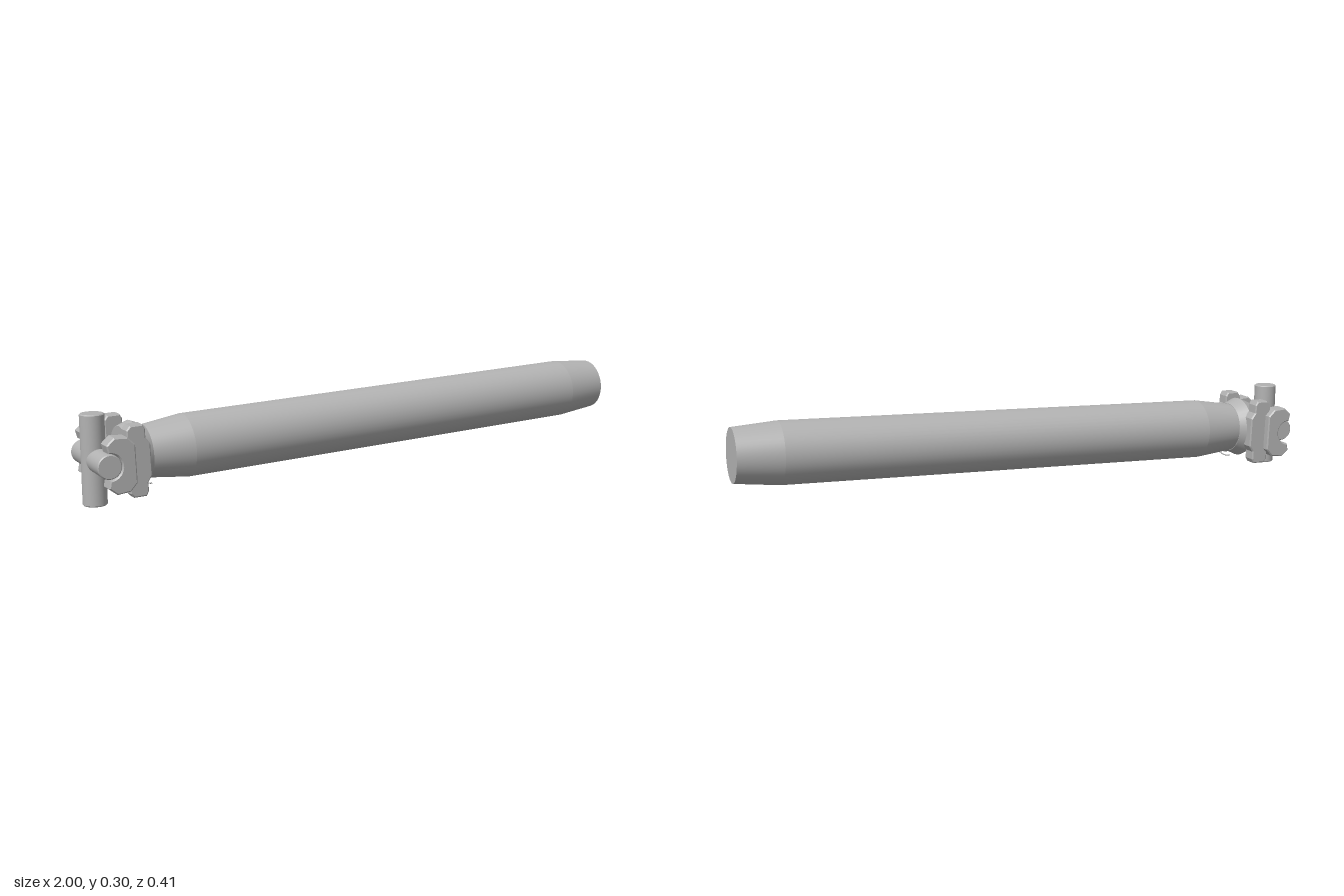
import * as THREE from 'three';

export function createModel() {
  const model = new THREE.Group();
  model.name = 'driveShaft';
  const steel = new THREE.MeshStandardMaterial({ color: 0xb2b2b2 });
  steel.name = 'steel';

  const add = (parent, name, geometry) => {
    const mesh = new THREE.Mesh(geometry, steel);
    mesh.name = name;
    parent.add(mesh);
    return mesh;
  };

  // Everything on the shaft runs along local +x, starting at the joint centre
  const shaft = new THREE.Group();
  shaft.name = 'shaft';
  shaft.position.set(-0.957, 0.14, 0.053);
  shaft.rotation.set(0, 0.0853, 0.0348);
  model.add(shaft);

  // Round section from a to b along the shaft
  const section = (name, a, b, ra, rb, open = false, sides = 48) => {
    const g = new THREE.CylinderGeometry(rb, ra, b - a, sides, 1, open);
    g.rotateZ(-Math.PI / 2);
    g.translate((a + b) / 2, 0, 0);
    return add(shaft, name, g);
  };
  section('neck', 0.155, 0.3, 0.083, 0.102, true);
  section('tube', 0.3, 1.81, 0.102, 0.102, true);
  section('nose', 1.81, 1.957, 0.102, 0.088);

  // Yoke base: a stepped collar behind the neck
  section('yokeCollar', 0.125, 0.165, 0.104, 0.086, false, 32);
  section('yokeBase', 0.088, 0.125, 0.09, 0.104, false, 32);

  // Side plates of the yoke, extruded across z with a small bevel
  const plate = (shape, z0, z1) => {
    const bevel = 0.004;
    const g = new THREE.ExtrudeGeometry(shape, {
      depth: z1 - z0 - 2 * bevel, bevelEnabled: true, bevelSize: bevel,
      bevelThickness: bevel, bevelOffset: -bevel, bevelSegments: 1, curveSegments: 14,
    });
    g.translate(0, 0, z0 + bevel);
    return g;
  };

  // Open saddle gripping the pin
  const saddle = new THREE.Shape();
  saddle.moveTo(0, -0.041);
  saddle.lineTo(-0.006, -0.066);
  saddle.lineTo(0.02, -0.088);
  saddle.lineTo(0.062, -0.084);
  saddle.lineTo(0.085, -0.06);
  saddle.lineTo(0.085, 0.06);
  saddle.lineTo(0.062, 0.084);
  saddle.lineTo(0.02, 0.088);
  saddle.lineTo(-0.006, 0.066);
  saddle.lineTo(0, 0.041);
  saddle.absarc(0, 0, 0.041, Math.PI / 2, -Math.PI / 2, true);

  // Tall strap with a lug at each end
  const strap = new THREE.Shape([
    [0.068, -0.098], [0.08, -0.112], [0.12, -0.112], [0.128, -0.098],
    [0.128, -0.07], [0.142, -0.05], [0.142, 0.05], [0.128, 0.07],
    [0.128, 0.098], [0.12, 0.112], [0.08, 0.112], [0.068, 0.098],
  ].map(([x, y]) => new THREE.Vector2(x, y)));

  for (const side of [1, -1]) {
    const arm = new THREE.Group();
    arm.name = side > 0 ? 'frontYokeArm' : 'backYokeArm';
    if (side < 0) arm.rotation.x = Math.PI;
    shaft.add(arm);
    add(arm, 'pinSaddle', plate(saddle, 0.092, 0.146));
    add(arm, 'boltStrap', plate(strap, 0.074, 0.122));
  }

  // Thin lip hanging under the collar
  const lip = new THREE.TorusGeometry(0.103, 0.002, 6, 16, 0.8);
  lip.rotateZ(-Math.PI / 2 - 0.4);
  lip.rotateY(Math.PI / 2);
  lip.translate(0.17, 0, 0);
  add(shaft, 'lowerLip', lip);

  // Universal joint cross: two pins with chamfered ends
  const cross = new THREE.Group();
  cross.name = 'jointCross';
  cross.position.set(-0.962, 0.143, 0.074);
  model.add(cross);
  const pin = (name, half) => {
    const group = new THREE.Group();
    group.name = name;
    cross.add(group);
    const c = 0.003;
    add(group, 'pinBody', new THREE.CylinderGeometry(0.038, 0.038, 2 * (half - c), 32, 1, true));
    for (const s of [1, -1]) {
      const end = new THREE.CylinderGeometry(0.035, 0.038, c, 32);
      if (s < 0) end.rotateX(Math.PI);
      end.translate(0, s * (half - c / 2), 0);
      add(group, 'pinEnd', end);
    }
    return group;
  };
  pin('verticalPin', 0.143);
  const crossPin = pin('crossPin', 0.134);
  crossPin.rotation.set(Math.PI / 2, 0, -0.06);
  crossPin.position.x = 0.008;

  return model;
}
